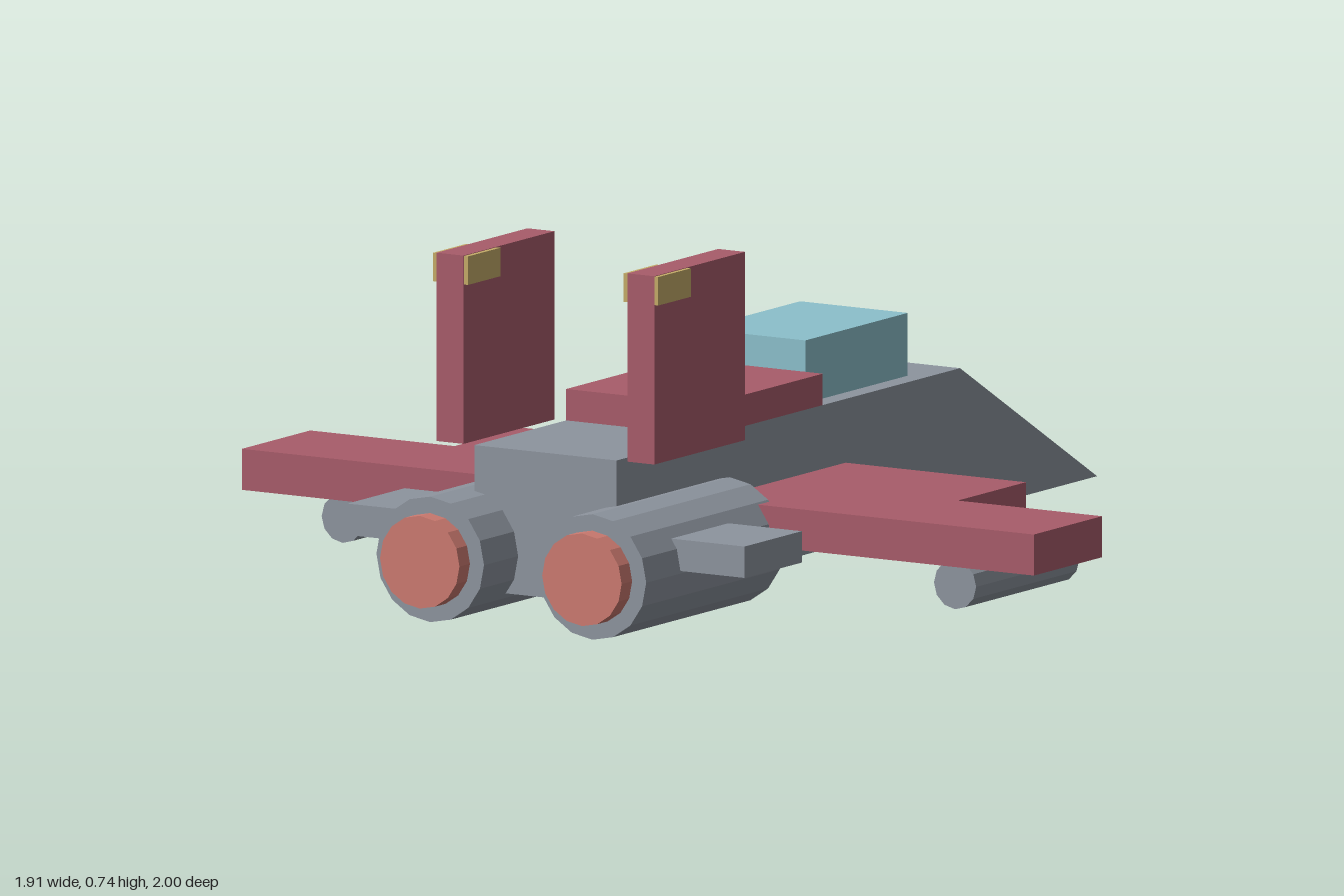
import * as THREE from 'three';

const mat = (name, color) => {
  const m = new THREE.MeshStandardMaterial({ color });
  m.name = name;
  return m;
};

export function createModel() {
  const grey = mat('hullGrey', 0x8d949e);
  const red = mat('wingRed', 0xa85c6a);
  const teal = mat('canopyTeal', 0x8cc0cb);
  const orange = mat('nozzleOrange', 0xcc7a70);
  const gold = mat('tipGold', 0xc4ab68);

  const jet = new THREE.Group();
  jet.name = 'jet';

  const add = (name, geometry, material) => {
    const mesh = new THREE.Mesh(geometry, material);
    mesh.name = name;
    jet.add(mesh);
    return mesh;
  };
  // Box given by its limits on each axis
  const box = (name, material, [x0, x1], [y0, y1], [z0, z1]) =>
    add(name, new THREE.BoxGeometry(Math.abs(x1 - x0), y1 - y0, z1 - z0), material)
      .position.set((x0 + x1) / 2, (y0 + y1) / 2, (z0 + z1) / 2);
  // Faceted cylinder lying along z
  const tube = (name, material, x, y, r, [z0, z1], sides) => {
    const g = new THREE.CylinderGeometry(r, r, z1 - z0, sides).toNonIndexed();
    g.rotateX(Math.PI / 2);
    g.computeVertexNormals();
    add(name, g, material).position.set(x, y, (z0 + z1) / 2);
  };
  const outline = (points) => new THREE.Shape(points.map(([a, b]) => new THREE.Vector2(a, b)));

  // Fuselage: side profile with wedge nose pointing to -z (shape x = -z)
  const body = new THREE.ExtrudeGeometry(
    outline([[-0.83, 0.05], [1, 0.05], [0.478, 0.35], [-0.83, 0.35]]),
    { depth: 0.344, bevelEnabled: false });
  body.translate(0, 0, -0.172);
  body.rotateY(Math.PI / 2);
  add('fuselage', body, grey);

  box('canopy', teal, [-0.13, 0.13], [0.35, 0.48], [-0.345, 0.045]);
  box('spine', red, [-0.172, 0.172], [0.35, 0.415], [0.045, 0.48]);

  for (const s of [1, -1]) {
    const side = s > 0 ? 'left' : 'right';

    // Stepped wing: plan outline extruded upwards (shape y = -z)
    const plan = [[0.1, -0.478], [0.957, -0.478], [0.957, -0.218], [0.608, -0.218], [0.608, 0.042], [0.1, 0.042]];
    const wing = new THREE.ExtrudeGeometry(outline(plan.map(([x, y]) => [s * x, y])),
      { depth: 0.085, bevelEnabled: false });
    wing.rotateX(-Math.PI / 2);
    wing.translate(0, 0.133, 0);
    add(side + 'Wing', wing, red);

    // Engine and nozzle
    tube(side + 'Engine', grey, s * 0.196, 0.13, 0.13, [0.436, 0.96], 16);
    tube(side + 'Nozzle', orange, s * 0.196, 0.13, 0.096, [0.9, 1], 16);

    // Tailplane, fin and fin tip
    box(side + 'Tailplane', grey, [s * 0.22, s * 0.48], [0.135, 0.2], [0.61, 0.828]);
    box(side + 'Fin', red, [s * 0.198, s * 0.263], [0.35, 0.74], [0.484, 0.83]);
    box(side + 'FinTip', gold, [s * 0.188, s * 0.272], [0.68, 0.739], [0.705, 0.829]);

    // Pod under the wing
    tube(side + 'Pod', grey, s * 0.74, 0.088, 0.051, [0.043, 0.436], 12);
  }
  return jet;
}
